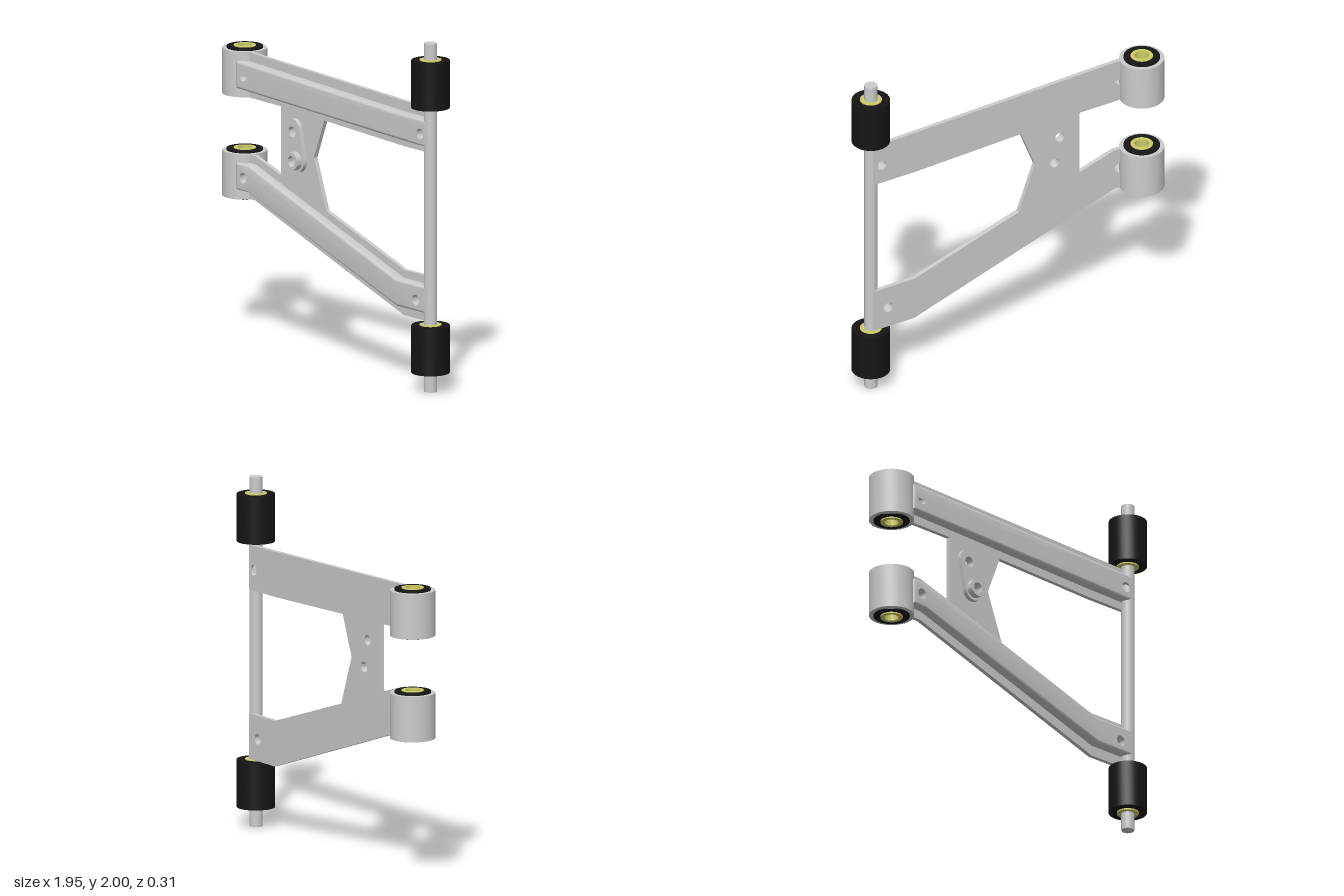
import * as THREE from 'three';
import { toCreasedNormals } from 'three/addons/utils/BufferGeometryUtils.js';

const grey = new THREE.MeshStandardMaterial({ color: 0xcccccc });
const black = new THREE.MeshStandardMaterial({ color: 0x151515 });
const yellow = new THREE.MeshStandardMaterial({ color: 0xcccc66 });

const HOLE = 0.03;
const boltHoles = {
  upper: [[-0.725, 1.535], [0.82, 1.475]],
  lower: [[-0.725, 0.95], [0.78, 0.515]],
};
const padHoles = [[-0.337, 1.28], [-0.303, 1.12]];

function mesh(name, geometry, material, parent) {
  const m = new THREE.Mesh(geometry, material);
  m.name = name;
  parent.add(m);
  return m;
}

function outline(points, holes = [], r = HOLE) {
  const s = new THREE.Shape(points.map(([x, y]) => new THREE.Vector2(x, y)));
  for (const [x, y] of holes) s.holes.push(new THREE.Path().absarc(x, y, r, 0, Math.PI * 2, true));
  return s;
}

// Flat slab cut from a shape, between two z planes
function slab(shape, z0, z1) {
  const g = new THREE.ExtrudeGeometry(shape, { depth: z1 - z0, bevelEnabled: false, curveSegments: 20 });
  g.translate(0, 0, z0);
  return toCreasedNormals(g, 0.6);
}

// Rib with rounded long edges; its bolt holes are pulled back to straight bores
function rib(points, holes) {
  const b = 0.016, z0 = 0.006, z1 = 0.088;
  const g = new THREE.ExtrudeGeometry(outline(points, holes), {
    depth: z1 - z0 - 2 * b, bevelThickness: b, bevelSize: b, bevelOffset: -b,
    bevelSegments: 4, curveSegments: 20,
  });
  g.translate(0, 0, z0 + b);
  const p = g.attributes.position;
  for (let i = 0; i < p.count; i++) {
    for (const [x, y] of holes) {
      const dx = p.getX(i) - x, dy = p.getY(i) - y, d = Math.hypot(dx, dy);
      if (d < 0.05) p.setXY(i, x + dx * HOLE / d, y + dy * HOLE / d);
    }
  }
  return toCreasedNormals(g, 0.6);
}

// Tube with square ends: inner radius, outer radius, bottom and top
function ring(ri, ro, y0, y1) {
  const pts = [[ri, y0], [ro, y0], [ro, y1], [ri, y1], [ri, y0]].map(([r, y]) => new THREE.Vector2(r, y));
  return toCreasedNormals(new THREE.LatheGeometry(pts, 48), 0.6);
}

export function createModel() {
  const model = new THREE.Group();
  model.name = 'controlArm';

  // Back plate joining both arms
  const plate = [
    [-0.79, 0.82], [-0.69, 0.82], [0.61, 0.39], [0.868, 0.39], [0.868, 0.65], [0.61, 0.65],
    [-0.07, 0.87], [-0.175, 1.155], [-0.085, 1.385], [0.61, 1.36], [0.868, 1.36],
    [0.868, 1.613], [0.61, 1.62], [-0.79, 1.663], [-0.79, 1.403], [-0.465, 1.4],
    [-0.465, 1.005], [-0.69, 1.075], [-0.79, 1.075],
  ];
  mesh('backPlate', slab(outline(plate, [...boltHoles.upper, ...boltHoles.lower, ...padHoles]), 0.005, 0.03), grey, model);

  // Raised ribs along the arms
  mesh('upperRib', rib([
    [-0.79, 1.455], [0.61, 1.41], [0.87, 1.405], [0.87, 1.558], [0.61, 1.563], [-0.79, 1.613],
  ], boltHoles.upper), grey, model);
  mesh('lowerRib', rib([
    [-0.79, 0.873], [-0.69, 0.873], [0.61, 0.45], [0.87, 0.45],
    [0.87, 0.605], [0.61, 0.605], [-0.68, 1.028], [-0.79, 1.028],
  ], boltHoles.lower), grey, model);

  // Rounded mounting pad with a collar on its lower hole
  const padR = 0.065, tilt = 0.21;
  const pad = new THREE.Shape();
  pad.absarc(-0.337, 1.29, padR, tilt, Math.PI + tilt, false);
  pad.absarc(-0.302, 1.118, padR, Math.PI + tilt, Math.PI * 2 + tilt, false);
  pad.closePath();
  for (const [x, y] of padHoles) pad.holes.push(new THREE.Path().absarc(x, y, HOLE, 0, Math.PI * 2, true));
  mesh('mountingPad', slab(pad, 0.028, 0.055), grey, model);
  const collar = mesh('padCollar', ring(HOLE, 0.052, 0, 0.04), grey, model);
  collar.rotation.x = Math.PI / 2;
  collar.position.set(padHoles[1][0], padHoles[1][1], 0.05);

  // Pivot rod with its two rubber bushings
  const rodX = 0.866, rodZ = 0.05;
  mesh('pivotRod', new THREE.CylinderGeometry(0.037, 0.037, 2, 32), grey, model).position.set(rodX, 1, rodZ);
  [['lower', 0.11], ['upper', 1.63]].forEach(([name, y]) => {
    const g = new THREE.Group();
    g.name = name + 'RodBushing';
    g.position.set(rodX, y, rodZ);
    mesh('rubber', ring(0.06, 0.108, 0, 0.272), black, g);
    mesh('innerSleeve', ring(0.036, 0.062, -0.008, 0.276), yellow, g);
    model.add(g);
  });

  // Sleeved bushings at the other end
  [['lower', 0.81], ['upper', 1.397]].forEach(([name, y]) => {
    const g = new THREE.Group();
    g.name = name + 'EndBushing';
    g.position.set(-0.85, y, -0.03);
    mesh('outerSleeve', ring(0.098, 0.127, 0.006, 0.266), grey, g);
    mesh('rubber', ring(0.06, 0.102, 0, 0.277), black, g);
    mesh('innerSleeve', ring(0.04, 0.063, -0.007, 0.281), yellow, g);
    model.add(g);
  });

  return model;
}
